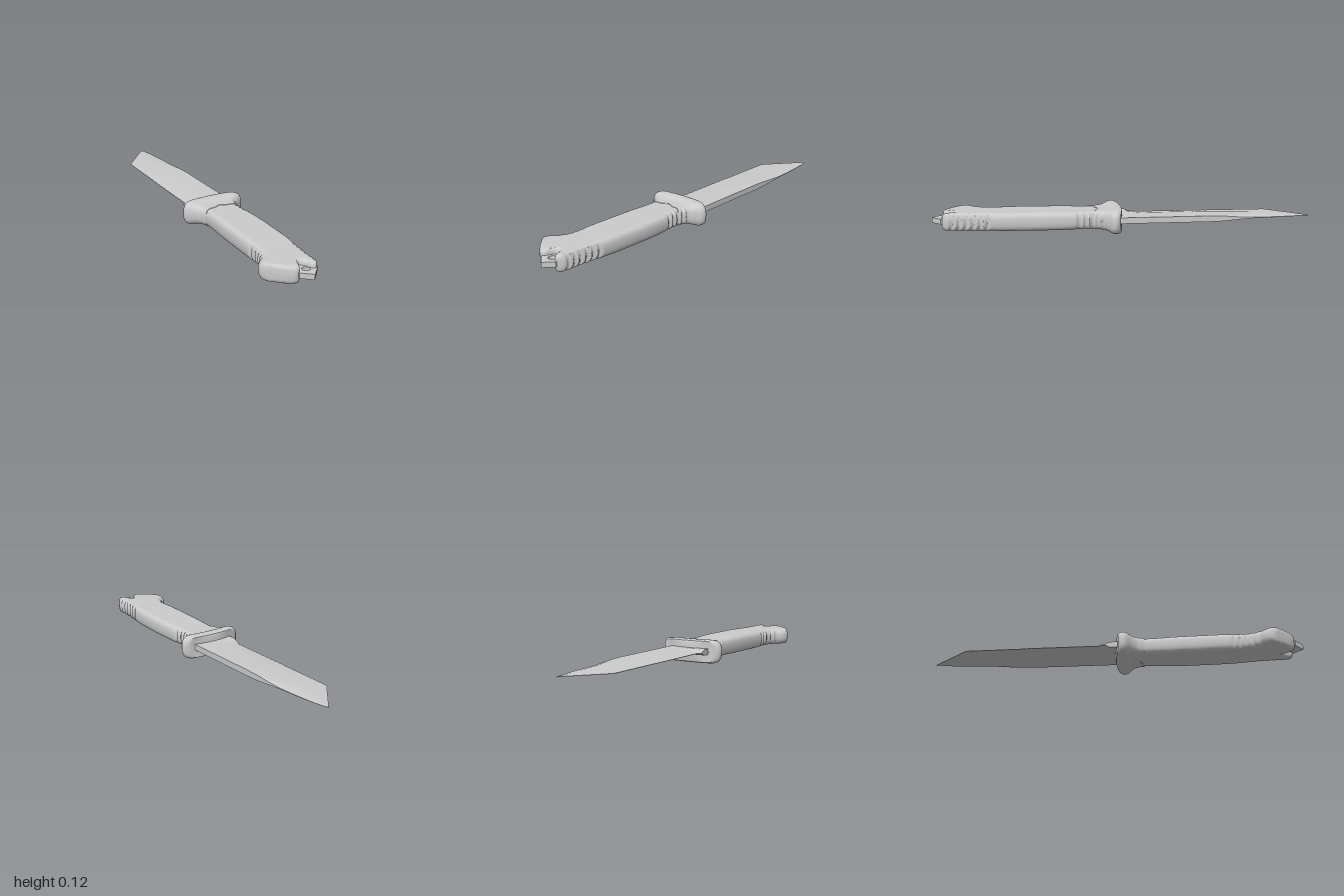
import * as THREE from 'three';
import { toCreasedNormals } from 'three/addons/utils/BufferGeometryUtils.js';

const MID = 0.064; // height of the centre plane
const material = new THREE.MeshStandardMaterial({ color: 0xcccccc });
const { lerp, clamp, smoothstep } = THREE.MathUtils;

// Smooth or straight lookup through [position, value] pairs
const smoothCurve = (pairs) => {
  const c = new THREE.CubicInterpolant(pairs.map((p) => p[0]), pairs.map((p) => p[1]), 1);
  return (t) => c.evaluate(clamp(t, pairs[0][0], pairs.at(-1)[0]))[0];
};
const straightCurve = (pairs) => {
  const c = new THREE.LinearInterpolant(pairs.map((p) => p[0]), pairs.map((p) => p[1]), 1);
  return (t) => c.evaluate(clamp(t, pairs[0][0], pairs.at(-1)[0]))[0];
};

// Skin over closed rings ordered by rising z; each ring runs left to right over the top
function loft(name, rings, crease) {
  const n = rings[0].length;
  const index = [];
  for (let i = 0; i < rings.length - 1; i++) {
    for (let j = 0; j < n; j++) {
      const a = i * n + j, b = i * n + (j + 1) % n;
      index.push(a, a + n, b, b, a + n, b + n);
    }
  }
  const geo = new THREE.BufferGeometry();
  geo.setAttribute('position', new THREE.Float32BufferAttribute(rings.flat(2), 3));
  geo.setIndex(index);
  const mesh = new THREE.Mesh(toCreasedNormals(geo, crease), material);
  mesh.name = name;
  return mesh;
}

// Flat-topped section with rounded sides; cutL and cutR press grooves into the sides
function roundedRing(xL, xR, h, r, zAt, cutL = 0, cutR = 0) {
  const half = [];
  const FLAT = 40, ARC = 6;
  for (let k = ARC; k > 0; k--) half.push([-1, (k / ARC) * Math.PI / 2]);
  for (let k = 0; k <= FLAT; k++) half.push([0, k / FLAT]);
  for (let k = 1; k <= ARC; k++) half.push([1, (k / ARC) * Math.PI / 2]);
  const point = ([side, v], up) => {
    let x = lerp(xL + r, xR - r, v), y = h, push = 0;
    if (side) {
      const s = Math.pow(Math.sin(v), 0.75);
      x = side < 0 ? xL + r - r * s : xR - r + r * s;
      y = h * Math.pow(Math.max(0, Math.cos(v)), 0.75);
      push = side < 0 ? cutL * s : -cutR * s;
    }
    return [x + push, MID + up * y, zAt((x - xL) / (xR - xL))];
  };
  const top = half.map((p) => point(p, 1));
  const bottom = half.slice(1, -1).reverse().map((p) => point(p, -1));
  return [...top, ...bottom];
}

// Row of finger grooves between two z positions
const grooves = (z, from, to, count) => {
  if (z <= from || z >= to) return 0;
  return 0.011 * Math.pow(Math.sin(((z - from) / (to - from)) * count * Math.PI), 2);
};
const spineGrooves = (z) => grooves(z, 0.075, 0.25, 5) + grooves(z, 0.69, 0.91, 6);
const bellyGrooves = (z) => grooves(z, 0.61, 0.77, 5) * 0.7;

function makeBlade() {
  const edge = straightCurve([[-1, 0.119], [-0.8, -0.055], [-0.47, -0.068], [-0.46, -0.073],
    [-0.08, -0.086], [-0.07, -0.097], [0.06, -0.097]]);
  const spine = smoothCurve([[-1, 0.121], [-0.93, 0.134], [-0.8, 0.145], [-0.65, 0.149], [-0.3, 0.141], [0.06, 0.131]]);
  const rings = [];
  for (let i = 0; i <= 265; i++) {
    const z = -1 + i * 0.004;
    const serration = z > -0.46 && z < -0.08 ? 0.004 * Math.abs(Math.sin((z + 0.46) * 82)) : 0;
    const xL = edge(z) + serration, xR = spine(z);
    const h = lerp(0.002, 0.016, clamp((z + 1) / 0.55, 0, 1));
    // thick back with a bevel towards the point, ground thin on the cutting side
    const k = 1 - smoothstep(z, -0.72, -0.5);
    const xS = xR - Math.min(0.035 * k, (xR - xL) * 0.35);
    const xM = Math.min(Math.max(0.01, lerp(xL, xR, 0.45)), xS);
    const hE = lerp(0.0012, h, smoothstep(z, -0.06, -0.02));
    const top = [[xL, hE], [xM, h], [xS, h], [xR, h * (1 - 0.75 * k)]];
    const put = (s) => ([x, y]) => [x, 0.067 + s * y, z];
    rings.push([...top.map(put(1)), ...top.slice().reverse().map(put(-1))]);
  }
  const tip = rings[0];
  rings.unshift(tip.map(() => [0.12, 0.067, -1]));
  return loft('blade', rings, 0.2);
}

function makeGuard() {
  // z, left, right, half height, side radius, scallop of the rear seam
  const rows = [[0, -0.1, 0.13, 0, 0.04], [0.001, -0.1, 0.13, 0.044, 0.045], [0.005, -0.14, 0.17, 0.057, 0.055],
    [0.018, -0.157, 0.188, 0.0622, 0.058], [0.035, -0.161, 0.192, 0.0625, 0.058], [0.05, -0.154, 0.184, 0.0615, 0.055],
    [0.065, -0.138, 0.162, 0.056, 0.05], [0.08, -0.122, 0.142, 0.051, 0.045], [0.105, -0.106, 0.124, 0.0485, 0.038],
    [0.155, -0.094, 0.112, 0.0475, 0.033]];
  const cols = [1, 2, 3, 4].map((c) => straightCurve(rows.map((r) => [r[0], r[c]])));
  const ringAt = (z, flat) => {
    const [xL, xR, h, r] = cols.map((f) => f(z));
    const back = smoothstep(z, 0.08, 0.155);
    const zAt = (u) => z + 0.016 * Math.pow(2 * u - 1, 2) * (1 - back)
      - 0.022 * back * Math.pow(Math.max(0, Math.sin(u * Math.PI)), 3)
      + 0.004 * back * Math.cos(u * Math.PI * 6);
    return roundedRing(xL, xR, flat ? 0.04 : h, r, zAt, 0, spineGrooves(z));
  };
  const zs = [0, 0.001, 0.003, 0.005];
  for (let z = 0.009; z <= 0.1551; z += 0.004) zs.push(z);
  return loft('guard', [...zs.map((z) => ringAt(z)), ringAt(0.155, true)], 0.8);
}

function makeHandle() {
  const left = smoothCurve([[0.1, -0.093], [0.16, -0.092], [0.35, -0.106], [0.6, -0.122], [0.71, -0.133],
    [0.76, -0.16], [0.79, -0.186], [0.815, -0.194], [0.84, -0.187]]);
  const right = smoothCurve([[0.1, 0.108], [0.25, 0.111], [0.4, 0.108], [0.64, 0.091], [0.83, 0.067], [0.9, 0.062], [0.925, 0.053]]);
  // slanted butt end with a notch for the lanyard hole
  const butt = smoothCurve([[0, 0.84], [0.1, 0.867], [0.36, 0.932], [0.47, 0.945], [0.54, 0.938], [0.61, 0.902],
    [0.69, 0.885], [0.77, 0.902], [0.83, 0.938], [0.9, 0.946], [1, 0.925]]);
  const START = 0.1, STEPS = 210;
  const ringAt = (t, flat) => {
    const zL = lerp(START, butt(0), t), zR = lerp(START, butt(1), t);
    const s = clamp((t - 0.97) / 0.03, 0, 1);
    const swell = 0.0455 + 0.0025 * smoothstep(t, 0.12, 0.3) * (1 - smoothstep(t, 0.6, 0.75));
    const h = flat ? 0 : swell * (0.55 + 0.45 * Math.sqrt(1 - s * s));
    return roundedRing(left(zL), right(zR), h, 0.034, (u) => lerp(START, butt(clamp(u, 0, 1)), t),
      bellyGrooves(zL), spineGrooves(zR));
  };
  const rings = [ringAt(0, true)];
  for (let i = 0; i <= STEPS; i++) rings.push(ringAt(i / STEPS));
  rings.push(ringAt(1, true));
  return loft('handle', rings, 0.8);
}

function makeTang() {
  const shape = new THREE.Shape([[-0.067, 0.82], [0.032, 0.82], [0.032, 0.952], [-0.016, 1], [-0.067, 0.952]]
    .map(([x, y]) => new THREE.Vector2(x, y)));
  shape.holes.push(new THREE.Path().absarc(-0.016, 0.93, 0.02, 0, Math.PI * 2, true));
  const geo = new THREE.ExtrudeGeometry(shape, { depth: 0.028, bevelEnabled: false, curveSegments: 24 });
  geo.rotateX(Math.PI / 2);
  const mesh = new THREE.Mesh(geo, material);
  mesh.name = 'tangEnd';
  mesh.position.y = 0.08;
  return mesh;
}

export function createModel() {
  const group = new THREE.Group();
  group.name = 'knife';
  group.add(makeBlade(), makeGuard(), makeHandle(), makeTang());
  return group;
}
